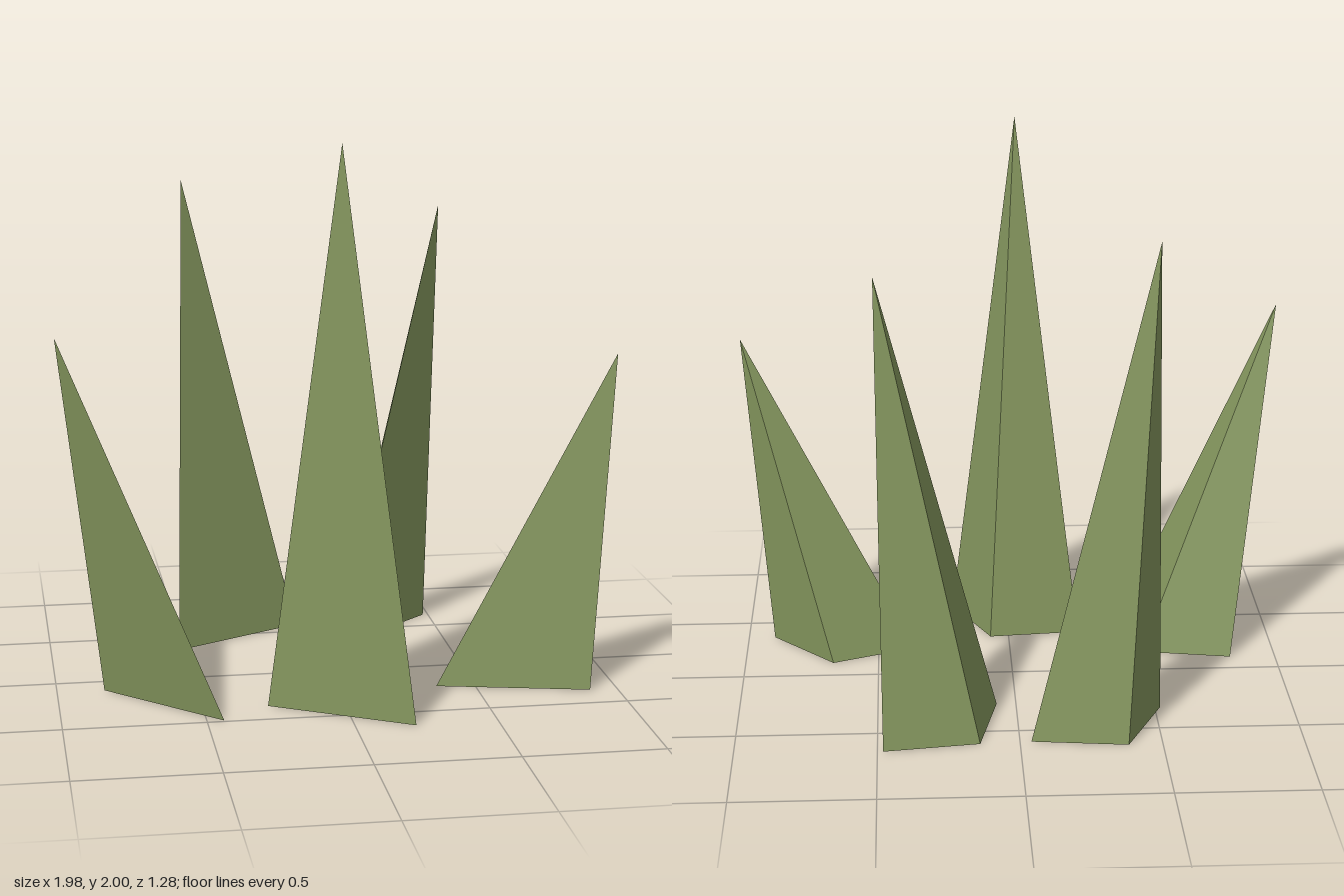
import * as THREE from 'three';

// Each blade: tip [x, y, z] and a triangular foot [x, z], counter-clockwise from above
const blades = [
  { name: 'rightBlade', tip: [-0.99, 1.33, 0.3], foot: [[-0.83, 0.1], [-0.44, 0.49], [-0.5, 0.16]] },
  { name: 'backRightBlade', tip: [-0.48, 1.77, -0.46], foot: [[-0.38, -0.63], [-0.52, -0.33], [-0.04, -0.59]] },
  { name: 'centreBlade', tip: [-0.03, 2, 0.505], foot: [[-0.27, 0.36], [0.21, 0.64], [0.07, 0.33]] },
  { name: 'backLeftBlade', tip: [0.49, 1.66, -0.46], foot: [[0.14, -0.6], [0.07, -0.275], [0.48, -0.645]] },
  { name: 'leftBlade', tip: [0.99, 1.22, 0.3], foot: [[0.36, 0.235], [0.9, 0.36], [0.67, 0.11]] },
];

// Three flat sides rising from an open foot to the leaning tip
function bladeGeometry(tip, foot) {
  const positions = [];
  foot.forEach(([x, z], i) => {
    const [nextX, nextZ] = foot[(i + 1) % foot.length];
    positions.push(x, 0, z, nextX, 0, nextZ, ...tip);
  });
  const geometry = new THREE.BufferGeometry();
  geometry.setAttribute('position', new THREE.Float32BufferAttribute(positions, 3));
  geometry.computeVertexNormals();
  return geometry;
}

export function createModel() {
  const group = new THREE.Group();
  group.name = 'grassTuft';
  const green = new THREE.MeshStandardMaterial({
    color: 0x86985f, flatShading: true, side: THREE.DoubleSide,
  });
  for (const { name, tip, foot } of blades) {
    const blade = new THREE.Mesh(bladeGeometry(tip, foot), green);
    blade.name = name;
    group.add(blade);
  }
  return group;
}
